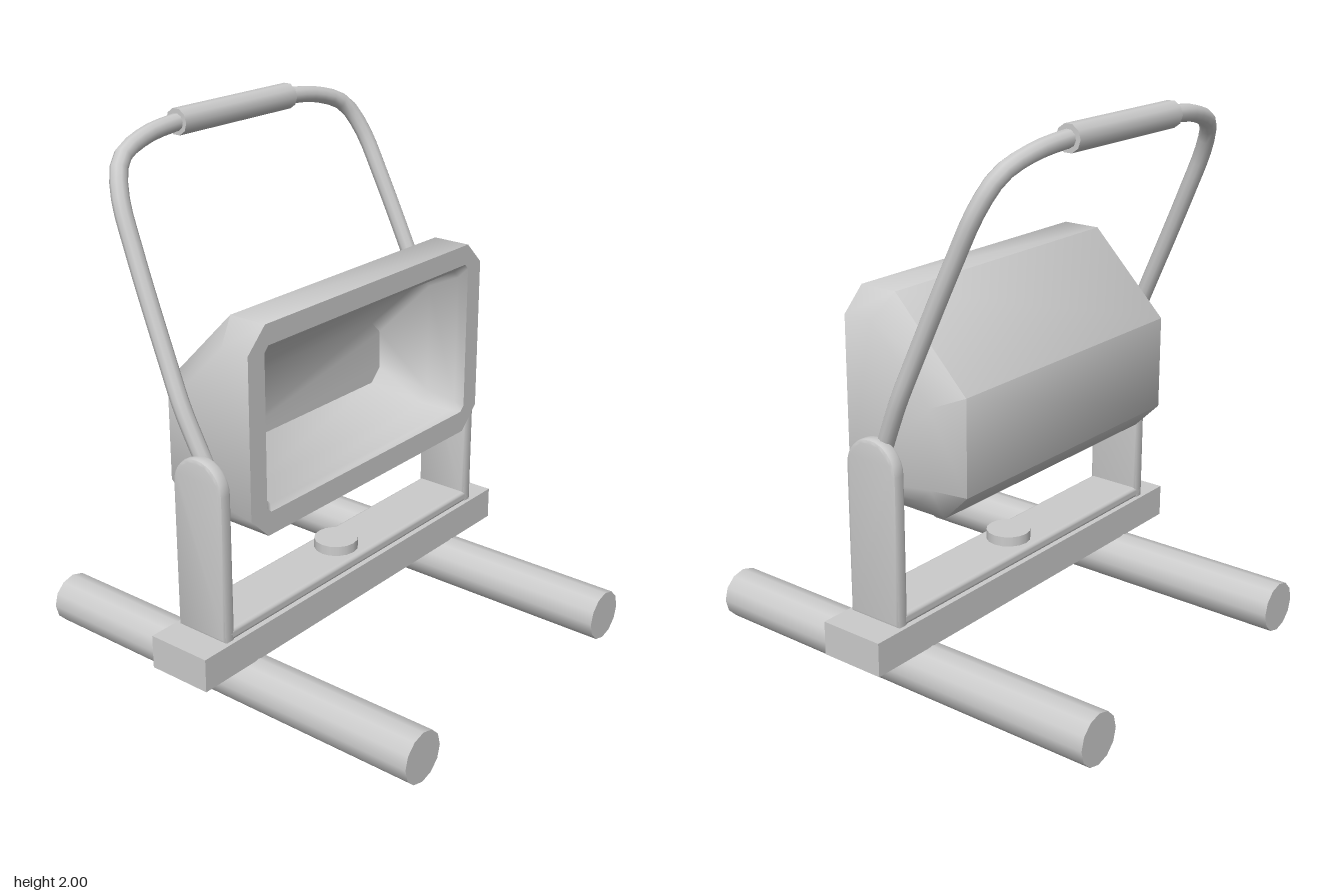
import * as THREE from 'three';
import { toCreasedNormals } from 'three/addons/utils/BufferGeometryUtils.js';
import { RoundedBoxGeometry } from 'three/addons/geometries/RoundedBoxGeometry.js';

const grey = new THREE.MeshStandardMaterial({ color: 0xcccccc, side: THREE.DoubleSide });

function add(parent, name, geometry, x = 0, y = 0, z = 0) {
  const mesh = new THREE.Mesh(geometry, grey);
  mesh.name = name;
  mesh.position.set(x, y, z);
  parent.add(mesh);
  return mesh;
}

// Skin a row of equal-length cross-sections, with optional fan caps
function loft(rings, { closed = true, startCap = false, endCap = false, crease = 0.9 } = {}) {
  const n = rings[0].length, index = [];
  for (let i = 0; i < rings.length - 1; i++) {
    for (let j = 0; j < (closed ? n : n - 1); j++) {
      const k = (j + 1) % n;
      const a = i * n + j, b = i * n + k, c = b + n, d = a + n;
      index.push(a, b, c, a, c, d);
    }
  }
  const last = (rings.length - 1) * n;
  for (let j = 1; j < n - 1; j++) {
    if (startCap) index.push(0, j + 1, j);
    if (endCap) index.push(last, last + j, last + j + 1);
  }
  const g = new THREE.BufferGeometry();
  g.setAttribute('position', new THREE.Float32BufferAttribute(rings.flat(2), 3));
  g.setIndex(index);
  return toCreasedNormals(g, crease);
}

// Rectangle with cut corners, anticlockwise from the front
function cutRect(hx, y0, y1, c) {
  return [
    [-hx + c, y0], [hx - c, y0], [hx, y0 + c], [hx, y1 - c],
    [hx - c, y1], [-hx + c, y1], [-hx, y1 - c], [-hx, y0 + c],
  ];
}

function makeHead() {
  const head = new THREE.Group();
  head.name = 'lampHead';

  // Housing: side profile (z, y) swept along x, drawn in at both ends
  const full = [[0.17, 0.68], [-0.18, 0.68], [-0.28, 0.78], [-0.28, 1.13], [0.02, 1.435], [0.17, 1.435]];
  const inset = [[0.17, 0.765], [-0.145, 0.765], [-0.195, 0.815], [-0.195, 1.1], [0.055, 1.35], [0.17, 1.35]];
  const section = (profile, x) => profile.map(([z, y]) => [x, y, z]);
  add(head, 'housing', loft(
    [section(inset, -0.655), section(full, -0.57), section(full, 0.57), section(inset, 0.655)],
    { closed: false, startCap: true, endCap: true }));

  // Front rim around the opening
  const toPoints = (list) => list.map(([x, y]) => new THREE.Vector2(x, y));
  const rim = new THREE.Shape(toPoints(cutRect(0.655, 0.68, 1.435, 0.085)));
  rim.holes.push(new THREE.Path(toPoints(cutRect(0.575, 0.765, 1.36, 0.02))));
  add(head, 'rim', new THREE.ShapeGeometry(rim), 0, 0, 0.17);

  // Reflector: hollow narrowing from the opening to the back
  const ring = (hx, y0, y1, c, z) => cutRect(hx, y0, y1, c).map(([x, y]) => [x, y, z]);
  add(head, 'reflector', loft([
    ring(0.575, 0.765, 1.36, 0.02, 0.17),
    ring(0.555, 0.775, 1.335, 0.03, 0.14),
    ring(0.54, 0.785, 1.29, 0.04, 0.02),
    ring(0.52, 0.82, 1.07, 0.05, -0.2),
  ], { endCap: true, crease: 1.2 }));
  return head;
}

function makeBracket() {
  const bracket = new THREE.Group();
  bracket.name = 'bracket';
  add(bracket, 'bracketBase', new RoundedBoxGeometry(1.46, 0.045, 0.22, 2, 0.015), 0, 0.331, 0);

  // Round-topped upright plates
  const b = 0.012, r = 0.11 - b;
  const plate = new THREE.Shape();
  plate.moveTo(-r, 0.31 + b);
  plate.lineTo(r, 0.31 + b);
  plate.lineTo(r, 0.86);
  plate.absarc(0, 0.86, r, 0, Math.PI, false);
  plate.closePath();
  const g = new THREE.ExtrudeGeometry(plate, {
    depth: 0.05 - 2 * b, bevelEnabled: true, bevelThickness: b, bevelSize: b, bevelSegments: 2, curveSegments: 8,
  });
  g.translate(0, 0, -0.025 + b).rotateY(Math.PI / 2);
  const upright = toCreasedNormals(g, 0.7);
  const pivot = new THREE.CylinderGeometry(0.045, 0.045, 0.06, 12).rotateZ(Math.PI / 2);
  for (const s of [1, -1]) {
    const side = s > 0 ? 'left' : 'right';
    add(bracket, side + 'Upright', upright, s * 0.709, 0, 0);
    add(bracket, side + 'Pivot', pivot, s * 0.67, 0.88, 0);
  }
  return bracket;
}

function makeHandle() {
  const handle = new THREE.Group();
  handle.name = 'handle';
  // Bow lies in a plane leaning backwards
  const half = [[0.672, 0.9], [0.682, 1.0], [0.69, 1.12], [0.685, 1.25], [0.665, 1.6],
    [0.643, 1.78], [0.59, 1.88], [0.47, 1.93], [0.28, 1.953]];
  const lean = (s) => ([x, y]) => new THREE.Vector3(s * x, y, -0.445 * (y - 0.9));
  const points = [...half.map(lean(1)), ...half.map(lean(-1)).reverse()];
  add(handle, 'bow', new THREE.TubeGeometry(new THREE.CatmullRomCurve3(points), 64, 0.031, 10));
  add(handle, 'grip', new THREE.CylinderGeometry(0.048, 0.048, 0.585, 10).rotateZ(Math.PI / 2), 0, 1.953, -0.469);
  return handle;
}

export function createModel() {
  const model = new THREE.Group();
  model.name = 'floorLamp';

  // Stand: two tubular feet and a crossbar
  const foot = new THREE.CylinderGeometry(0.095, 0.095, 1.67, 12).rotateX(Math.PI / 2);
  add(model, 'leftFoot', foot, 0.583, 0.095, 0);
  add(model, 'rightFoot', foot, -0.583, 0.095, 0);
  add(model, 'crossbar', new THREE.BoxGeometry(1.7, 0.125, 0.25), 0, 0.249, 0);

  // Clamp knob
  add(model, 'knob', new THREE.CylinderGeometry(0.083, 0.083, 0.045, 16), 0, 0.368, 0);

  model.add(makeBracket(), makeHead(), makeHandle());
  return model;
}
